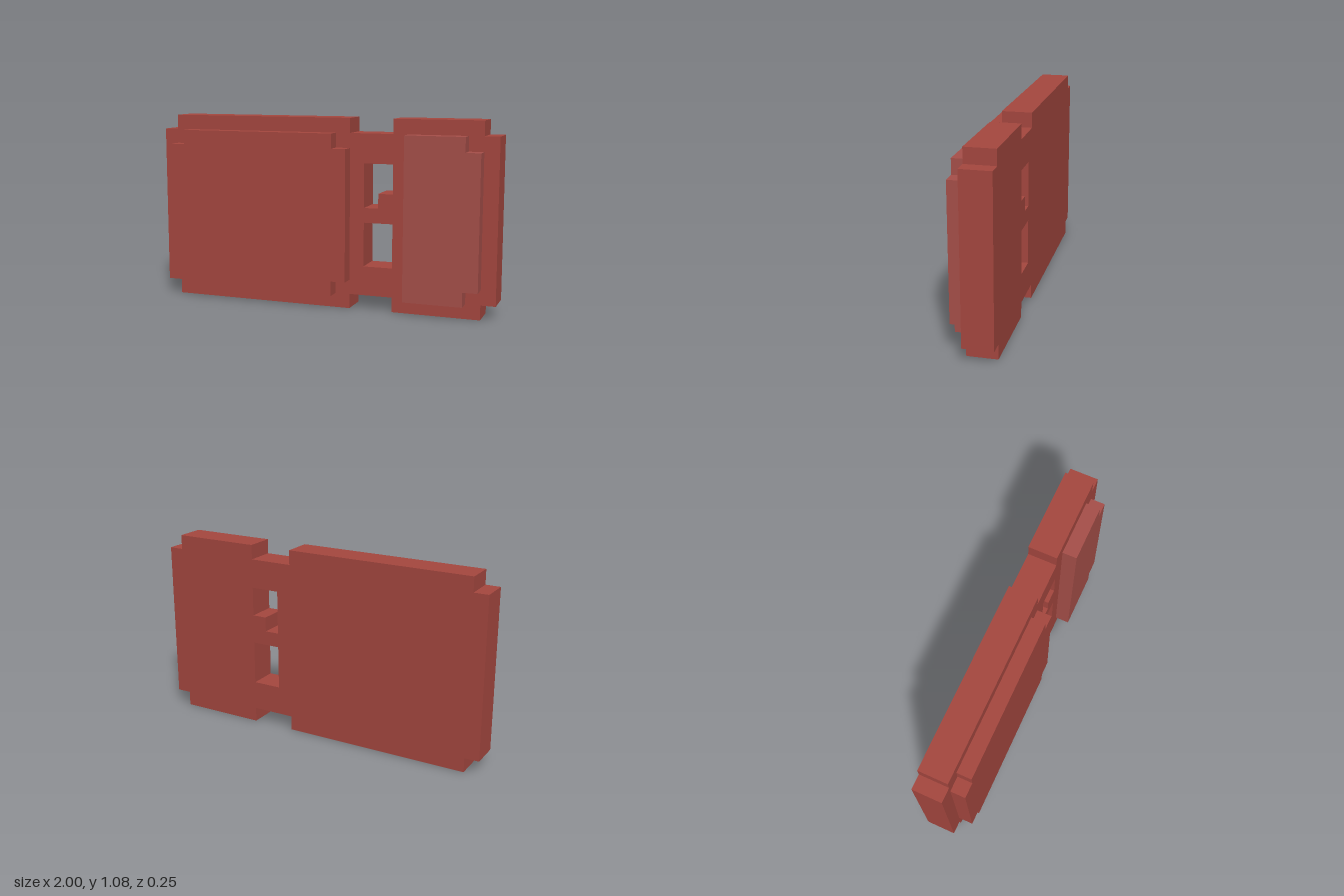
import * as THREE from 'three';

const U = 1 / 12; // one block of the 24 x 13 x 3 block grid

// Corner points in blocks, converted to model units
const toPoints = (corners) =>
  corners.map(([x, y]) => new THREE.Vector2((x - 12) * U, y * U));

// Flat slab cut from a stepped outline, running from z0 to z1 (in blocks)
function slab(name, material, outline, z0, z1, holes = []) {
  const shape = new THREE.Shape(toPoints(outline));
  for (const hole of holes) shape.holes.push(new THREE.Path(toPoints(hole)));
  const geometry = new THREE.ExtrudeGeometry(shape, {
    depth: (z1 - z0) * U,
    bevelEnabled: false,
  });
  geometry.translate(0, 0, (z0 - 1.5) * U);
  const mesh = new THREE.Mesh(geometry, material);
  mesh.name = name;
  return mesh;
}

export function createModel() {
  const group = new THREE.Group();
  group.name = 'blockPlaque';
  const red = new THREE.MeshStandardMaterial({ color: 0xa5473f });
  const lightRed = new THREE.MeshStandardMaterial({ color: 0xa64f49 });

  // Back plate: wide and narrow halves joined by a bridge with two openings
  const plateOutline = [
    [1, 0], [14, 0], [14, 1], [17, 1], [17, 0], [23, 0], [23, 1], [24, 1],
    [24, 12], [23, 12], [23, 13], [17, 13], [17, 12], [14, 12], [14, 13],
    [1, 13], [1, 12], [0, 12], [0, 1], [1, 1],
  ];
  const lowerOpening = [[15, 3], [15, 6], [17, 6], [17, 3]];
  const upperOpening = [[15, 7], [15, 10], [17, 10], [17, 8], [16, 8], [16, 7]];
  group.add(slab('backPlate', red, plateOutline, 0, 2, [lowerOpening, upperOpening]));

  // Wide raised panel, all four corners notched
  group.add(slab('widePanel', red, [
    [2, 1], [13, 1], [13, 2], [14, 2], [14, 11], [13, 11],
    [13, 12], [2, 12], [2, 11], [1, 11], [1, 2], [2, 2],
  ], 2, 3));

  // Narrow raised panel, notched on its outer corners only
  group.add(slab('narrowPanel', lightRed, [
    [18, 1], [22, 1], [22, 2], [23, 2], [23, 11], [22, 11], [22, 12], [18, 12],
  ], 2, 3));

  return group;
}
